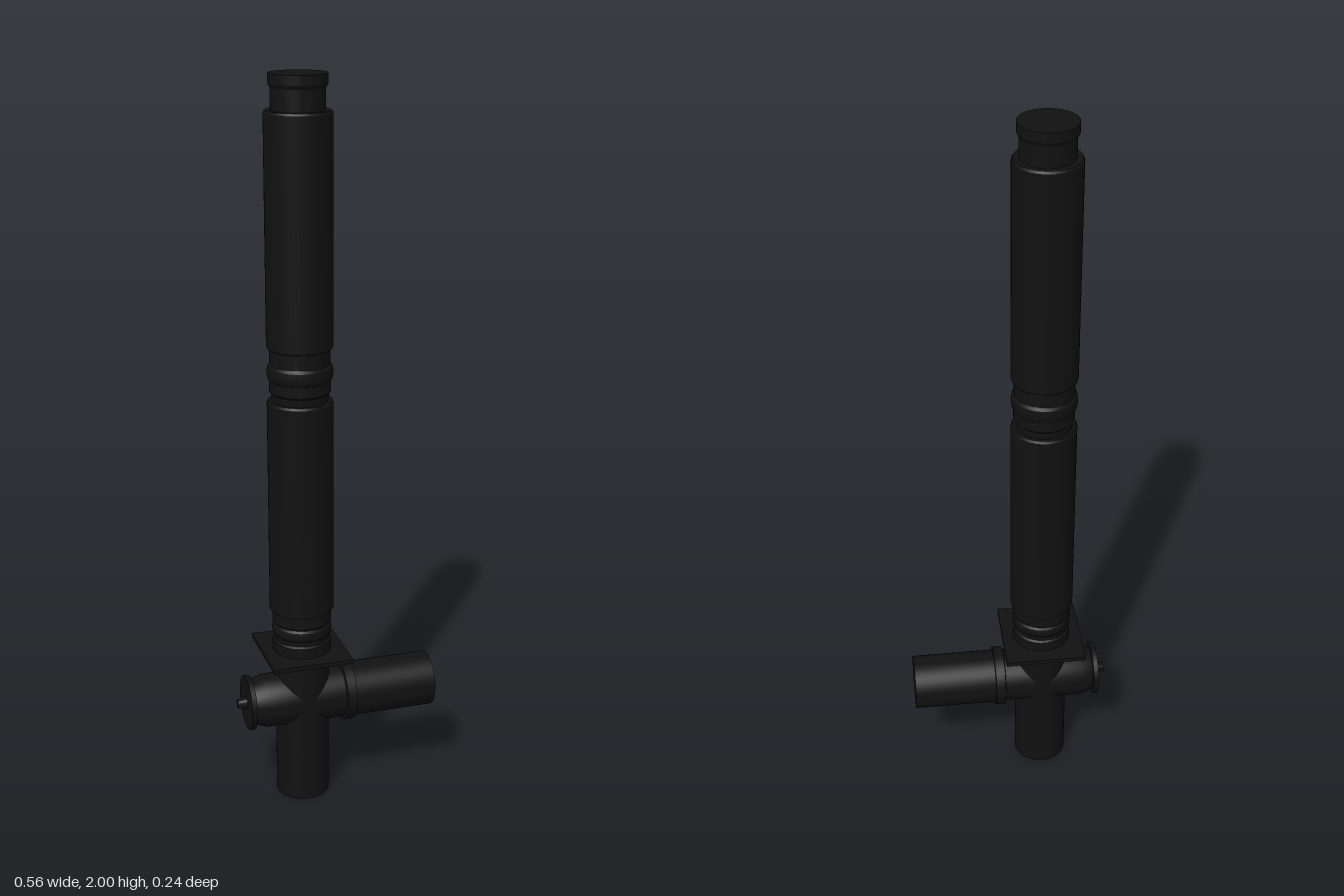
import * as THREE from 'three';
import { toCreasedNormals } from 'three/addons/utils/BufferGeometryUtils.js';

const AXIS_X = -0.093;   // centre line of the vertical pipe
const BRANCH_Y = 0.29;   // centre line of the side branch

export function createModel() {
  const group = new THREE.Group();
  const black = new THREE.MeshStandardMaterial({ color: 0x111111, side: THREE.DoubleSide });

  const add = (name, geometry, x, y) => {
    const mesh = new THREE.Mesh(geometry, black);
    mesh.name = name;
    mesh.position.set(x, y, 0);
    group.add(mesh);
    return mesh;
  };

  // Turned part from [radius, height] pairs, with crisp steps
  const turned = (points) => toCreasedNormals(
    new THREE.LatheGeometry(points.map(([r, h]) => new THREE.Vector2(r, h)), 48), 0.5);

  // Turned part lying along +x, from [radius, x] pairs
  const turnedAlongX = (name, points) => {
    add(name, turned(points).rotateZ(-Math.PI / 2), 0, BRANCH_Y);
  };

  // Lower pipe through the tee
  add('lowerPipe', turned([[0, 0], [0.074, 0], [0.074, 0.44]]), AXIS_X, 0);

  // Square ceiling plate
  add('mountingPlate', new THREE.BoxGeometry(0.225, 0.012, 0.242), AXIS_X, 0.435);

  // Beaded socket above the plate
  add('lowerSocket', turned([
    [0.074, 0.44], [0.081, 0.44], [0.081, 0.47], [0.075, 0.475], [0.075, 0.488],
    [0.08, 0.494], [0.082, 0.505], [0.08, 0.516], [0.075, 0.522],
    [0.081, 0.528], [0.081, 0.56], [0.074, 0.56],
  ]), AXIS_X, 0);

  // Two wide insulated lengths
  for (const [name, bottom, top] of [['lowerSleeve', 0.56, 1.16], ['upperSleeve', 1.3, 1.91]]) {
    add(name, turned([
      [0, bottom], [0.084, bottom], [0.088, bottom + 0.006],
      [0.088, top - 0.006], [0.084, top], [0, top],
    ]), AXIS_X, 0);
  }

  // Beaded joint between the sleeves
  add('middleJoint', turned([
    [0.075, 1.16], [0.076, 1.18], [0.081, 1.185], [0.081, 1.215],
    [0.086, 1.222], [0.088, 1.237], [0.086, 1.252], [0.08, 1.26], [0.08, 1.3],
  ]), AXIS_X, 0);

  // Top spigot with rim
  add('topSpigot', turned([
    [0.07, 1.91], [0.07, 1.965], [0.076, 1.975], [0.076, 2], [0, 2],
  ]), AXIS_X, 0);

  // Side branch with collar
  turnedAlongX('sideBranch', [
    [0.074, AXIS_X], [0.074, 0.016], [0.084, 0.018], [0.084, 0.045],
    [0.076, 0.046], [0.076, 0.278], [0, 0.278],
  ]);

  // Tapered inspection cap with flange and drain nipple
  turnedAlongX('inspectionCap', [
    [0, -0.28], [0.012, -0.28], [0.017, -0.255], [0.076, -0.255],
    [0.076, -0.241], [0.061, -0.241], [0.074, -0.205], [0.074, AXIS_X],
  ]);

  return group;
}
